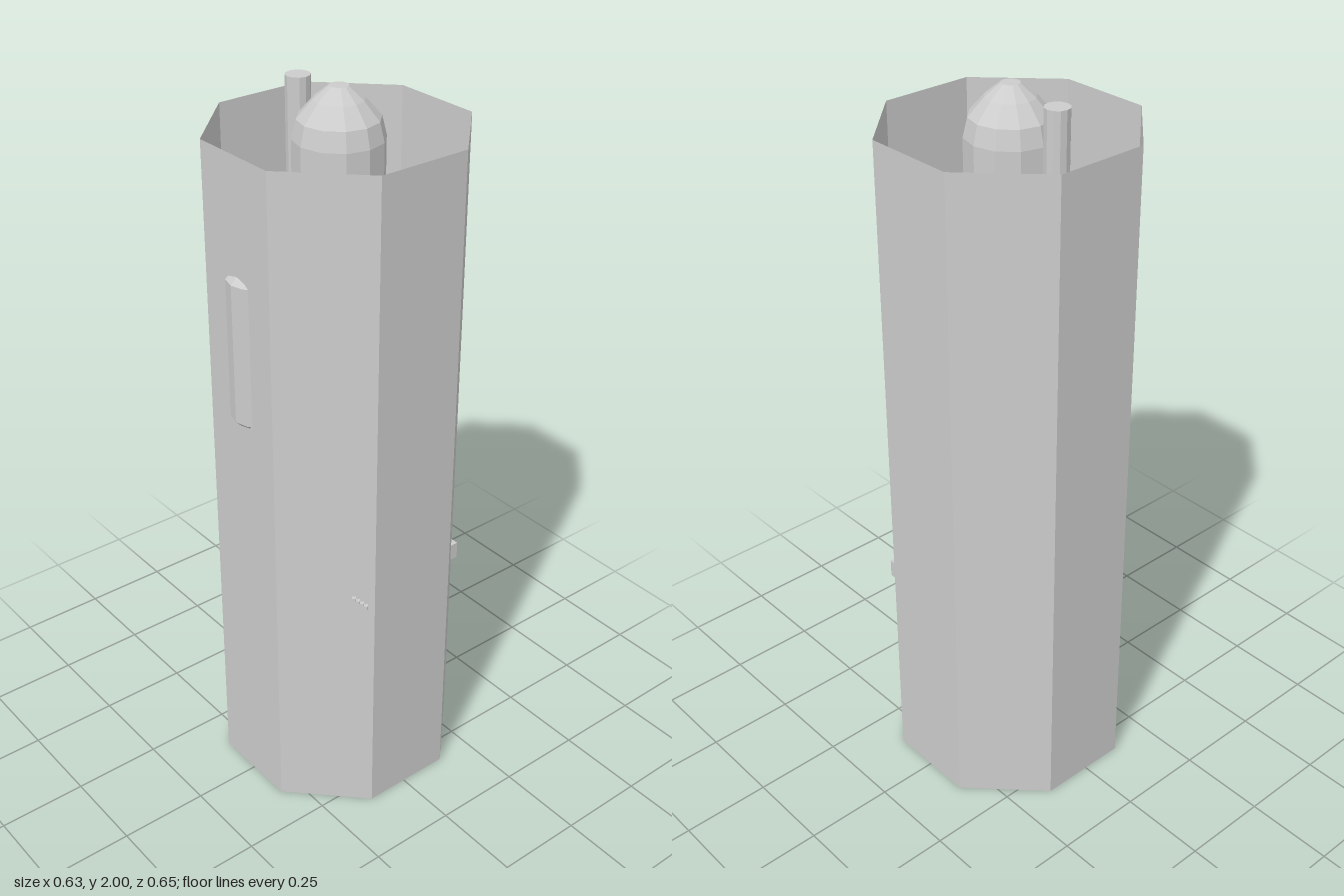
import * as THREE from 'three';

export function createModel() {
  const root = new THREE.Group();
  root.name = 'silo';
  const grey = new THREE.MeshStandardMaterial({ color: 0xcccccc, flatShading: true, side: THREE.DoubleSide });
  grey.name = 'grey';

  const add = (name, geometry, x, y, z, parent = root) => {
    const mesh = new THREE.Mesh(geometry, grey);
    mesh.name = name;
    mesh.position.set(x, y, z);
    parent.add(mesh);
    return mesh;
  };
  // Box given by its limits in plan, its top and its thickness
  const slab = (name, x0, x1, z0, z1, top, h) =>
    add(name, new THREE.BoxGeometry(x1 - x0, h, z1 - z0), (x0 + x1) / 2, top - h / 2, (z0 + z1) / 2);
  // Upright cylinder between two heights
  const drum = (name, x, z, r, y0, y1, sides = 12) =>
    add(name, new THREE.CylinderGeometry(r, r, y1 - y0, sides), x, (y0 + y1) / 2, z);
  const lathe = (name, x, z, profile, sides = 12) =>
    add(name, new THREE.LatheGeometry(profile.map(p => new THREE.Vector2(...p)), sides), x, 0, z);
  // Horizontal drum along x
  const roller = (name, x0, x1, y, z, r) => {
    const mesh = add(name, new THREE.CylinderGeometry(r, r, x1 - x0, 12), (x0 + x1) / 2, y, z);
    mesh.rotation.z = Math.PI / 2;
  };
  // Flat plate from a plan outline of [x, z] corners
  const plate = (name, corners, top, h = 0.012) => {
    const shape = new THREE.Shape(corners.map(([x, z]) => new THREE.Vector2(x, -z)));
    const geo = new THREE.ExtrudeGeometry(shape, { depth: h, bevelEnabled: false });
    geo.rotateX(-Math.PI / 2);
    add(name, geo, 0, top - h, 0);
  };
  // Straight flight of steps between two points [x, y, z]
  const stairs = (name, a, b, width, count) => {
    const group = new THREE.Group();
    group.name = name;
    const dx = b[0] - a[0], dz = b[2] - a[2], run = Math.hypot(dx, dz) / count;
    for (let i = 0; i < count; i++) {
      const t = (i + 0.5) / count;
      const step = add('step', new THREE.BoxGeometry(width, 0.012, run),
        a[0] + dx * t, a[1] + (b[1] - a[1]) * t, a[2] + dz * t, group);
      step.rotation.y = Math.atan2(dx, dz);
    }
    root.add(group);
  };

  // Open octagonal shell and floor
  const R = 0.343, cz = -0.01;
  add('shell', new THREE.CylinderGeometry(R, R, 1.9, 8, 1, true, Math.PI / 8), 0, 0.95, cz);
  const base = add('floor', new THREE.CircleGeometry(R, 8, Math.PI / 8), 0, 0, cz);
  base.rotation.x = Math.PI / 2;

  // Central column with domed nose
  lathe('centralColumn', 0, cz, [[0.133, 0.01], [0.133, 1.35], [0.118, 1.4], [0.118, 1.87],
    [0.106, 1.92], [0.065, 1.967], [0.025, 2], [0, 2]], 12);

  // Capsule tank set through the front wall
  lathe('frontTank', 0, 0.25, [[0, 1.15], [0.035, 1.15], [0.075, 1.188], [0.075, 1.572],
    [0.035, 1.61], [0, 1.61]]);
  drum('tankSupport', 0, 0.2, 0.08, 0.01, 0.9);
  slab('tankBracket', -0.035, 0.035, 0.115, 0.155, 1.3, 0.06);

  // Tall chimney with its boiler and elbow
  drum('chimney', -0.165, -0.012, 0.033, 0.2, 1.985);
  lathe('boiler', -0.245, -0.012, [[0.07, 0.01], [0.07, 0.45], [0.045, 0.5], [0, 0.5]]);
  roller('boilerPipe', -0.265, -0.165, 0.55, -0.015, 0.016);
  drum('boilerOutlet', -0.25, -0.015, 0.016, 0.49, 0.55);

  // Storage tanks
  drum('backLeftTank', -0.155, -0.15, 0.08, 0.01, 0.5);
  drum('backTank', 0.015, -0.255, 0.07, 0.01, 0.6);
  drum('frontRightTank', 0.095, 0.115, 0.05, 0.01, 0.4);
  lathe('smallFlask', -0.247, 0.077, [[0.023, 0.01], [0.023, 0.25], [0.01, 0.29], [0, 0.29]]);
  for (const z of [0.19, 0.228]) drum('bottle', 0.093, z, 0.015, 0.01, 0.12);

  // Generator on the right
  drum('generatorBase', 0.205, -0.015, 0.07, 0.01, 0.3);
  roller('generator', 0.143, 0.255, 0.36, -0.017, 0.03);
  for (const z of [-0.06, 0.027]) roller('generatorSide', 0.165, 0.235, 0.34, z, 0.018);

  // Walkways along the walls
  plate('backLeftWalkway', [[0, -0.325], [-0.131, -0.325], [-0.2, -0.256], [-0.155, -0.22],
    [-0.115, -0.263], [0, -0.263]], 0.62);
  plate('frontLeftWalkway', [[-0.3, 0.135], [-0.131, 0.305], [0, 0.305], [0, 0.25],
    [-0.095, 0.25], [-0.25, 0.1]], 0.4);
  slab('rightWalkway', 0.255, 0.313, -0.125, 0, 0.66, 0.012);
  slab('frontRightWalkway', 0.09, 0.255, 0.135, 0.175, 0.72, 0.012);
  slab('frontShelf', 0.075, 0.13, 0.25, 0.305, 0.3, 0.012);
  slab('leftBridge', -0.205, 0, -0.128, -0.085, 0.62, 0.012);
  slab('rightBridge', 0.17, 0.255, -0.125, -0.085, 0.66, 0.012);
  slab('backBridge', -0.03, 0.03, -0.19, -0.13, 0.62, 0.012);

  // Stairs, one corner of which shows through the wall
  stairs('rightStairs', [0.284, 0.5, 0.1], [0.284, 0.66, 0], 0.058, 10);
  stairs('cornerStairs', [0.295, 0.69, 0.125], [0.265, 0.72, 0.155], 0.05, 4);
  stairs('leftStairs', [-0.27, 0.4, 0.125], [-0.17, 0.25, 0.225], 0.05, 10);
  stairs('frontStairs', [-0.19, 0.25, 0.153], [-0.1, 0.4, 0.153], 0.036, 8);
  stairs('backStairs', [0.087, 0.03, -0.17], [0.087, 0.1, -0.135], 0.045, 5);

  // Storage boxes; the back one shows through the wall
  slab('backVent', 0.092, 0.177, -0.305, -0.268, 0.635, 0.05);
  slab('crate', 0.135, 0.177, -0.22, -0.177, 0.06, 0.05);
  slab('crate', -0.105, -0.063, -0.263, -0.235, 0.06, 0.05);

  // Consoles with tilted screens
  for (const [x, z, turn] of [[0.145, -0.275, -0.8], [-0.265, -0.155, 0.75], [0.18, 0.215, 0.8]]) {
    const desk = new THREE.Group();
    desk.name = 'console';
    desk.position.set(x, 0.01, z);
    desk.rotation.y = turn;
    add('desk', new THREE.BoxGeometry(0.08, 0.05, 0.045), 0, 0.025, 0, desk);
    add('screen', new THREE.BoxGeometry(0.06, 0.04, 0.006), 0, 0.07, 0, desk).rotation.x = -0.3;
    root.add(desk);
  }

  // Ladder frame on the left
  for (const x of [-0.215, -0.19]) slab('ladderRail', x - 0.003, x + 0.003, 0.06, 0.066, 0.4, 0.39);
  for (let i = 0; i < 9; i++) slab('ladderRung', -0.215, -0.19, 0.061, 0.065, 0.05 + i * 0.04, 0.005);

  return root;
}
